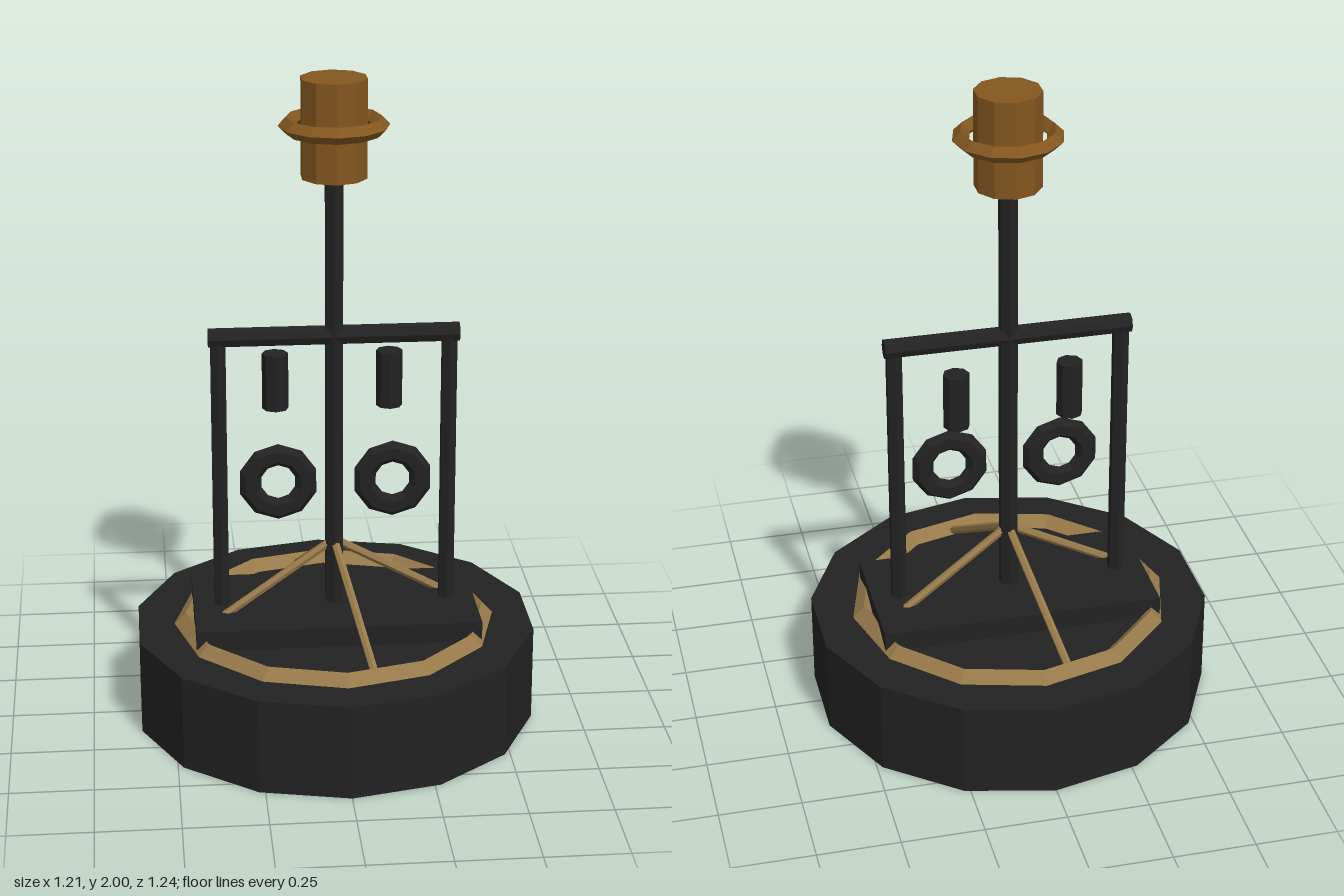
import * as THREE from 'three';

export function createModel() {
  const model = new THREE.Group();
  const material = (name, color) => {
    const m = new THREE.MeshStandardMaterial({ color, flatShading: true });
    m.name = name;
    return m;
  };
  const black = material('black iron', 0x222222);
  const gold = material('aged gold', 0x97794a);
  const copper = material('copper', 0x83561f);

  const add = (name, geometry, mat, x, y, z) => {
    const mesh = new THREE.Mesh(geometry, mat);
    mesh.name = name;
    mesh.position.set(x, y, z);
    model.add(mesh);
    return mesh;
  };
  const cylinder = (r, h, sides) => new THREE.CylinderGeometry(r, r, h, sides);
  // Upright cylinder between two heights
  const column = (name, r, y0, y1, sides, mat, x = 0, z = 0) =>
    add(name, cylinder(r, y1 - y0, sides), mat, x, (y0 + y1) / 2, z);

  // Drum base, trim ring and mounting plate
  column('base', 0.618, 0, 0.295, 14, black);
  add('baseRing', new THREE.TorusGeometry(0.46, 0.034, 4, 12), gold, 0, 0.295, 0).rotation.x = Math.PI / 2;
  add('mountingPlate', new THREE.BoxGeometry(0.866, 0.063, 0.42), black, 0, 0.327, 0);

  // Central mast with its head
  column('mast', 0.03, 0.295, 1.72, 6, black);
  column('head', 0.1, 1.705, 2, 10, copper);
  add('headRing', new THREE.TorusGeometry(0.139, 0.025, 4, 12), copper, 0, 1.86, 0).rotation.x = Math.PI / 2;

  // Frame with hanging weights and ring gauges
  add('crossbar', cylinder(0.03, 0.752, 8), black, 0, 1.22, 0).rotation.z = Math.PI / 2;
  for (const side of [-1, 1]) {
    column('framePost', 0.026, 0.35, 1.21, 6, black, side * 0.347);
    column('weight', 0.04, 0.97, 1.145, 8, black, side * 0.173, -0.063);
    const ring = add('ringGauge', new THREE.TorusGeometry(0.087, 0.034, 6, 10), black, side * 0.173, 0.773, 0.046);
    ring.rotation.z = Math.PI / 2;
    ring.scale.z = 0.75;
  }

  // Four braces sloping from the mast to the trim ring
  const top = new THREE.Vector3(0, 0.56, 0);
  const up = new THREE.Vector3(0, 1, 0);
  for (let i = 0; i < 4; i++) {
    const a = 0.2 + (i * Math.PI) / 2;
    const foot = new THREE.Vector3(0.43 * Math.cos(a), 0.3, -0.43 * Math.sin(a));
    const dir = top.clone().sub(foot);
    const mid = top.clone().add(foot).multiplyScalar(0.5);
    const brace = add('brace', cylinder(0.013, dir.length(), 6), gold, mid.x, mid.y, mid.z);
    brace.quaternion.setFromUnitVectors(up, dir.normalize());
  }
  return model;
}
